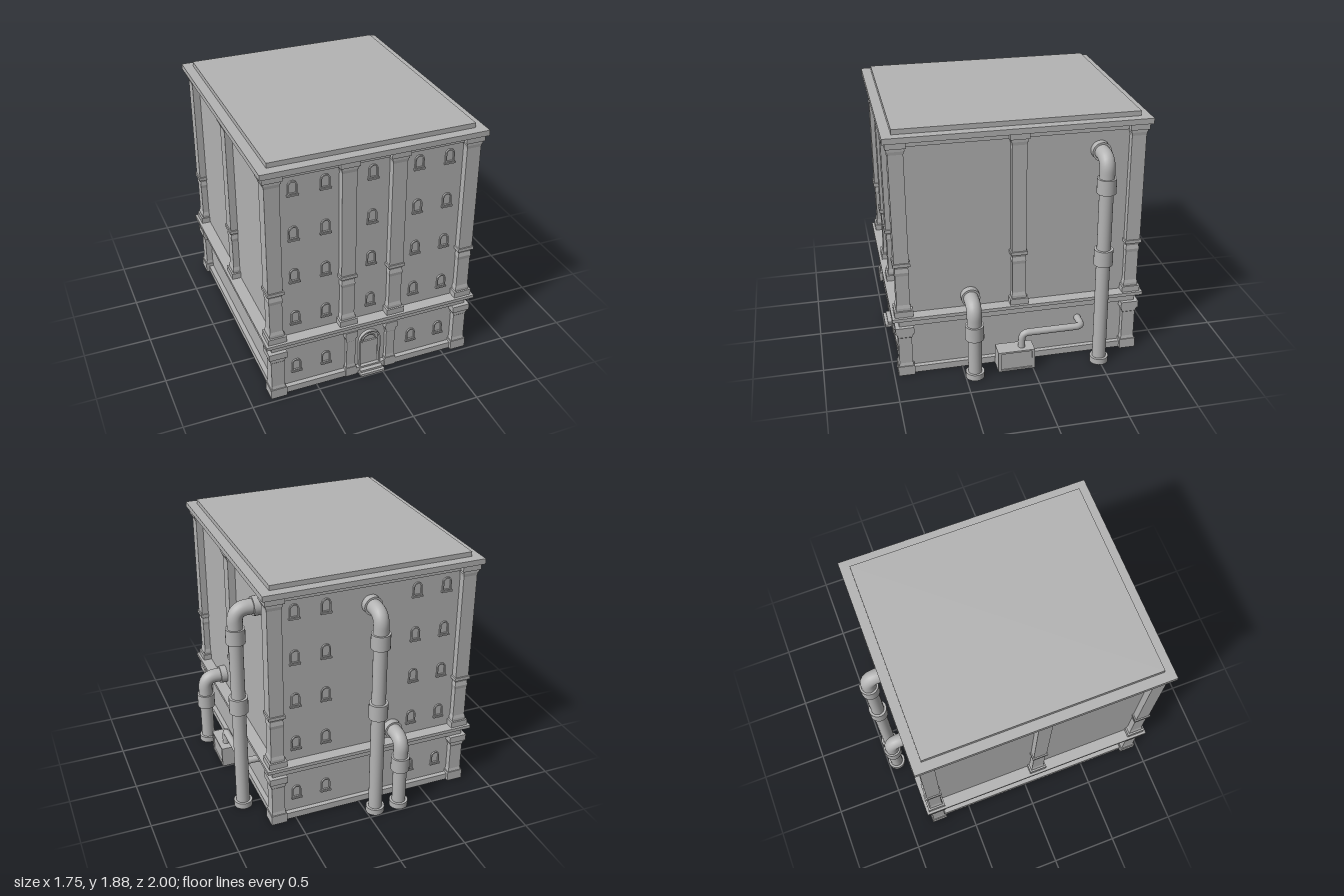
import * as THREE from 'three';

const stone = new THREE.MeshStandardMaterial({ color: 0xb4b4b4, side: THREE.DoubleSide });
stone.name = 'grey stone';

// Centre and half size of the wall planes
const CX = -0.08, CZ = 0.075, HX = 0.713, HZ = 0.835;

function add(parent, name, geometry, x = 0, y = 0, z = 0) {
  const mesh = new THREE.Mesh(geometry, stone);
  mesh.name = name;
  mesh.position.set(x, y, z);
  parent.add(mesh);
  return mesh;
}

function box(parent, name, x0, x1, y0, y1, z0, z1) {
  return add(parent, name, new THREE.BoxGeometry(x1 - x0, y1 - y0, z1 - z0),
    (x0 + x1) / 2, (y0 + y1) / 2, (z0 + z1) / 2);
}

// Full slab overhanging the walls by d
function slab(parent, name, d, y0, y1) {
  return box(parent, name, CX - HX - d, CX + HX + d, y0, y1, CZ - HZ - d, CZ + HZ + d);
}

function rectangle(target, hx, hz) {
  target.moveTo(-hx, -hz).lineTo(hx, -hz).lineTo(hx, hz).lineTo(-hx, hz).lineTo(-hx, -hz);
  return target;
}

// Hollow band around the walls, reaching outwards and inwards
function band(parent, name, out, inside, y0, y1) {
  const shape = rectangle(new THREE.Shape(), HX + out, HZ + out);
  shape.holes.push(rectangle(new THREE.Path(), HX - inside, HZ - inside));
  const g = new THREE.ExtrudeGeometry(shape, { depth: y1 - y0, bevelEnabled: false });
  g.rotateX(-Math.PI / 2);
  return add(parent, name, g, CX, y0, CZ);
}

// Square column from a list of [half width, height]
function column(parent, name, profile, x, z) {
  const pts = profile.map(([h, y]) => new THREE.Vector2(h * Math.SQRT2, y));
  const g = new THREE.LatheGeometry(pts, 4, Math.PI / 4).toNonIndexed();
  g.computeVertexNormals();
  return add(parent, name, g, x, 0, z);
}

const upperProfile = [
  [0, 0.49], [0.066, 0.49], [0.066, 0.535], [0.053, 0.535], [0.053, 0.555], [0.047, 0.58],
  [0.047, 0.81], [0.051, 0.835], [0.046, 0.865], [0.053, 0.885], [0.061, 0.885], [0.061, 0.91],
  [0.052, 0.91], [0.052, 1.71], [0.056, 1.735], [0.06, 1.735], [0.06, 1.755], [0.069, 1.755],
  [0.069, 1.8], [0, 1.8]];
const lowerProfile = [
  [0, 0], [0.06, 0], [0.06, 0.075], [0.053, 0.075], [0.048, 0.1], [0.048, 0.31], [0.052, 0.315],
  [0.052, 0.335], [0.058, 0.335], [0.058, 0.35], [0.066, 0.35], [0.066, 0.4], [0, 0.4]];

// Arched outline centred on x = 0, from y0 up to the crown
function arch(target, half, y0, spring) {
  target.moveTo(-half, y0).lineTo(half, y0).lineTo(half, spring);
  target.absarc(0, spring, half, 0, Math.PI, false);
  target.lineTo(-half, y0);
  return target;
}

function archFrame(half, y0, spring, rim, depth) {
  const shape = arch(new THREE.Shape(), half, y0, spring);
  shape.holes.push(arch(new THREE.Path(), half - rim, y0 + rim, spring));
  return new THREE.ExtrudeGeometry(shape, { depth, bevelEnabled: false, curveSegments: 10 });
}

const windowFrame = archFrame(0.034, -0.045, 0.02, 0.009, 0.022);
function makeWindow(parent, x, y, z, turn) {
  const g = new THREE.Group();
  g.name = 'window';
  add(g, 'windowFrame', windowFrame, 0, 0, -0.01);
  box(g, 'windowSill', -0.04, 0.04, -0.055, -0.044, -0.01, 0.018);
  g.position.set(x, y, z);
  g.rotation.y = turn;
  parent.add(g);
}

// Ring around a pipe, along its own y axis
function collar(parent, name, y0, y1, r = 0.068) {
  const pts = [[0.049, y0], [r, y0], [r, y1], [0.049, y1]].map(p => new THREE.Vector2(...p));
  const g = new THREE.LatheGeometry([pts[0], pts[1]], 24);
  add(parent, name, g);
  add(parent, name, new THREE.LatheGeometry([pts[1], pts[2]], 24));
  add(parent, name, new THREE.LatheGeometry([pts[2], pts[3]], 24));
}

// Standing pipe that bends into the wall lying towards its own -x
function pipe(parent, name, x, z, turn, top, couplings) {
  const g = new THREE.Group();
  g.name = name;
  const shaftTop = top - 0.14, V = (a, b) => new THREE.Vector3(a, b, 0);
  add(g, 'pipeShaft', new THREE.CylinderGeometry(0.05, 0.05, shaftTop - 0.02, 24), 0, (shaftTop + 0.02) / 2, 0);
  const path = new THREE.CurvePath();
  path.add(new THREE.LineCurve3(V(-0.18, top), V(-0.09, top)));
  path.add(new THREE.QuadraticBezierCurve3(V(-0.09, top), V(0, top), V(0, top - 0.09)));
  path.add(new THREE.LineCurve3(V(0, top - 0.09), V(0, shaftTop - 0.02)));
  add(g, 'pipeElbow', new THREE.TubeGeometry(path, 20, 0.054, 24));
  collar(g, 'pipeFoot', 0, 0.045);
  for (const [a, b] of couplings) collar(g, 'pipeCoupling', a, b);
  const flange = new THREE.Group();
  flange.name = 'wallFlange';
  collar(flange, 'wallFlangeRing', 0, 0.05);
  flange.rotation.z = -Math.PI / 2;
  flange.position.set(-0.172, top, 0);
  g.add(flange);
  g.position.set(x, 0, z);
  g.rotation.y = turn;
  parent.add(g);
}

export function createModel() {
  const model = new THREE.Group();
  model.name = 'building';
  const x0 = CX - HX, x1 = CX + HX, z0 = CZ - HZ, z1 = CZ + HZ;

  // Hollow walls, open underneath
  for (const s of [-1, 1]) {
    const face = add(model, s > 0 ? 'frontWall' : 'backWall', new THREE.PlaneGeometry(2 * HX, 1.8), CX, 0.9, CZ + s * HZ);
    const side = add(model, s > 0 ? 'leftWall' : 'rightWall', new THREE.PlaneGeometry(2 * HZ, 1.8), CX + s * HX, 0.9, CZ);
    face.rotation.y = s > 0 ? 0 : Math.PI;
    side.rotation.y = s * Math.PI / 2;
  }

  // Plinth, belt course, frieze and roof
  band(model, 'plinth', 0.035, 0.005, 0, 0.05);
  band(model, 'beltCourse', 0.038, 0.04, 0.4, 0.465);
  band(model, 'beltLedge', 0.085, 0.08, 0.465, 0.49);
  band(model, 'frieze', 0.035, 0.01, 1.755, 1.8);
  slab(model, 'cornice', 0.088, 1.8, 1.84);
  slab(model, 'roofSlab', 0.018, 1.84, 1.875);

  // Corner columns on both storeys
  for (const x of [x0, x1]) for (const z of [z0, z1]) {
    column(model, 'lowerCornerColumn', lowerProfile, x, z);
    column(model, 'upperCornerColumn', upperProfile, x, z);
  }
  // Middle columns on the sides and the front
  for (const x of [x0, x1]) column(model, 'sideColumn', upperProfile, x, 0.08);
  for (const s of [-1, 1]) {
    column(model, 'frontColumn', upperProfile, -0.087 + s * 0.179, z1);
    column(model, 'doorColumn', lowerProfile.map(([h, y]) => [h * 0.7, y]), -0.078 + s * 0.155, z1);
  }

  // Windows on the front and back
  for (const y of [0.205, 0.63, 0.98, 1.315, 1.655]) {
    for (const d of [-0.56, -0.335, 0.335, 0.56]) {
      makeWindow(model, CX + d, y, z1, 0);
      makeWindow(model, CX + d, y, z0, Math.PI);
    }
    if (y > 0.4) makeWindow(model, CX, y, z1, 0);
  }

  // Arched door with fanlight and steps
  const door = new THREE.Group();
  door.name = 'door';
  add(door, 'doorFrame', archFrame(0.083, 0.035, 0.267, 0.011, 0.035), 0, 0, -0.01);
  box(door, 'doorLeaf', -0.066, 0.066, 0.035, 0.255, 0, 0.009);
  add(door, 'fanlight', archFrame(0.056, 0.25, 0.256, 0.008, 0.022), 0, 0, -0.01);
  box(door, 'doorStep', -0.095, 0.095, 0, 0.02, -0.02, 0.088);
  box(door, 'doorStep', -0.085, 0.085, 0.02, 0.036, -0.02, 0.066);
  door.position.set(CX, 0, z1);
  model.add(door);

  // Large pipes on the right and the back
  const low = [[0.32, 0.43]], high = [[0.81, 0.93], [1.36, 1.47]];
  pipe(model, 'tallSidePipe', 0.805, -0.5, 0, 1.61, high);
  pipe(model, 'shortSidePipe', 0.805, 0.43, 0, 0.575, low);
  pipe(model, 'tallBackPipe', -0.07, -0.93, Math.PI / 2, 1.61, high);
  pipe(model, 'shortBackPipe', -0.26, -0.93, Math.PI / 2, 0.575, low);

  // Utility box with a raised rim, and its thin pipe
  box(model, 'utilityBox', 0.69, 0.806, 0.01, 0.17, -0.01, 0.26);
  const rim = rectangle(new THREE.Shape(), 0.135, 0.08);
  rim.holes.push(rectangle(new THREE.Path(), 0.115, 0.067));
  const rimGeometry = new THREE.ExtrudeGeometry(rim, { depth: 0.009, bevelEnabled: false });
  add(model, 'utilityBoxRim', rimGeometry.rotateY(Math.PI / 2), 0.806, 0.09, 0.125);

  const P = (x, y, z) => new THREE.Vector3(x, y, z);
  const path = new THREE.CurvePath();
  path.add(new THREE.LineCurve3(P(0.755, 0.16, 0.075), P(0.755, 0.23, 0.075)));
  path.add(new THREE.QuadraticBezierCurve3(P(0.755, 0.23, 0.075), P(0.755, 0.282, 0.075), P(0.755, 0.282, 0.02)));
  path.add(new THREE.LineCurve3(P(0.755, 0.282, 0.02), P(0.755, 0.282, -0.33)));
  path.add(new THREE.QuadraticBezierCurve3(P(0.755, 0.282, -0.33), P(0.755, 0.282, -0.375), P(0.71, 0.282, -0.375)));
  path.add(new THREE.LineCurve3(P(0.71, 0.282, -0.375), P(0.63, 0.282, -0.375)));
  add(model, 'thinPipe', new THREE.TubeGeometry(path, 48, 0.026, 14));

  return model;
}
